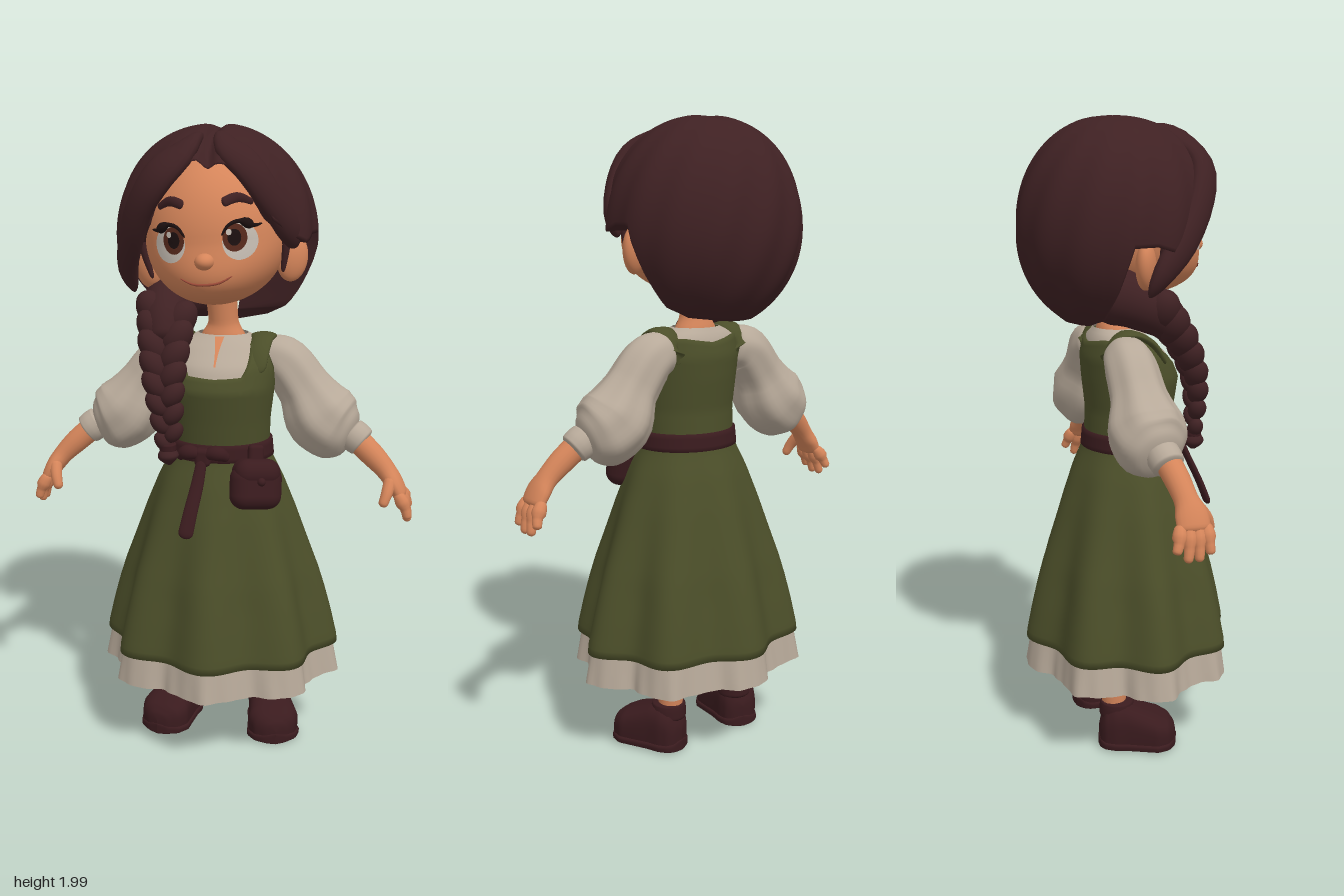
import * as THREE from 'three';
import { RoundedBoxGeometry } from 'three/addons/geometries/RoundedBoxGeometry.js';

const V = (x, y, z) => new THREE.Vector3(x, y, z);
const mat = (name, color, both) => {
  const m = new THREE.MeshStandardMaterial({ color });
  m.name = name;
  if (both) m.side = THREE.DoubleSide;
  return m;
};

// Linear lookup in rows of [key, ...values], keys ascending
function look(table, k) {
  let i = 0;
  while (i < table.length - 2 && k > table[i + 1][0]) i++;
  const a = table[i], b = table[i + 1];
  const f = THREE.MathUtils.clamp((k - a[0]) / (b[0] - a[0]), 0, 1);
  return a.slice(1).map((v, j) => v + (b[j + 1] - v) * f);
}

// Closed skin: fn(u around, v along) gives a point
function skinOver(fn, nu, nv) {
  const pos = [], idx = [];
  for (let i = 0; i <= nv; i++) for (let j = 0; j < nu; j++) pos.push(...fn(j / nu, i / nv));
  for (let i = 0; i < nv; i++) for (let j = 0; j < nu; j++) {
    const a = i * nu + j, b = i * nu + (j + 1) % nu, c = a + nu, d = b + nu;
    idx.push(a, b, c, c, b, d);
  }
  const g = new THREE.BufferGeometry();
  g.setAttribute('position', new THREE.Float32BufferAttribute(pos, 3));
  g.setIndex(idx);
  g.computeVertexNormals();
  return g;
}

// Rounded limb through rows [x, y, z, radius towards ref, radius across]
function limb(rows, ref = V(0, 0, 1), cap = 0.08, ripple = 0, nu = 18, nv = 24) {
  const path = new THREE.CatmullRomCurve3(rows.map(r => V(r[0], r[1], r[2])));
  const size = new THREE.CatmullRomCurve3(rows.map(r => V(r[3], r[4] ?? r[3], 0)));
  return skinOver((u, v) => {
    const t = (1 - Math.cos(Math.PI * v)) / 2, p = path.getPoint(t), s = size.getPoint(t);
    const T = path.getTangent(t), B = T.clone().cross(ref).normalize(), N = B.clone().cross(T);
    const e = 1 - Math.min(1, t / cap, (1 - t) / cap), a = u * 2 * Math.PI;
    const k = Math.sqrt(Math.max(0, 1 - e * e)) * (1 + ripple * Math.sin(7 * a) * Math.sin(Math.PI * t));
    p.addScaledVector(N, Math.cos(a) * s.x * k).addScaledVector(B, Math.sin(a) * s.y * k);
    return p.toArray();
  }, nu, nv);
}

// Torso rows: y, half width, half depth, z centre
const TORSO = [[0.98, 0.145, 0.125, 0], [1.1, 0.15, 0.13, 0.01], [1.2, 0.162, 0.143, 0.012], [1.27, 0.165, 0.13, -0.005],
  [1.33, 0.145, 0.09, -0.03], [1.36, 0.075, 0.062, -0.04]];
const torsoPoint = (a, y, out) => {
  const [rx, rz, cz] = look(TORSO, y);
  return [Math.sin(a) * (rx + out), y, cz + Math.cos(a) * (rz + out)];
};
const SKIRT = [[0.25, 0.366], [0.36, 0.362], [0.45, 0.342], [0.6, 0.303], [0.8, 0.238], [0.9, 0.2], [0.98, 0.16], [1.03, 0.148]];
const BODICE_TOP = [[0, 1.24], [30, 1.245], [37, 1.28], [44, 1.335], [66, 1.335], [76, 1.27], [90, 1.23], [105, 1.25], [118, 1.33], [140, 1.33], [180, 1.315]];
const HAIR_HEM = [[0, 0.235], [20, 0.215], [33, 0.16], [42, 0.05], [55, 0], [68, -0.03], [80, -0.01], [95, -0.01], [103, -0.15], [112, -0.24], [130, -0.268], [180, -0.275]];
const SHOE = [[-0.14, 0, 0.07], [-0.135, 0.035, 0.09], [-0.12, 0.055, 0.125], [-0.09, 0.066, 0.148], [-0.05, 0.068, 0.148], [0, 0.076, 0.13], [0.05, 0.084, 0.112], [0.085, 0.068, 0.094], [0.105, 0.035, 0.07], [0.11, 0, 0.045]];

// Face depth at a point of the head
const FX = 0.218, FZ = 0.213;
function faceZ(x, y, nz) {
  const ny = y / (y > 0 ? 0.25 : 0.205), nx = x / FX;
  nz ??= Math.sqrt(Math.max(0, 1 - nx * nx - ny * ny));
  return FZ * nz + 0.13 * Math.max(0, -ny) ** 1.5 * Math.max(0, nz);
}

export function createModel() {
  const model = new THREE.Group();
  model.name = 'girl';
  const hair = mat('hair brown', 0x3f2123), leather = mat('leather', 0x3a1b1e), green = mat('dress green', 0x4b4e29, true);
  const linen = mat('linen', 0xb7a999, true), skin = mat('skin', 0xd5855a), white = mat('eye white', 0xc4bbb1);
  const iris = mat('iris brown', 0x56291c), dark = mat('pupil dark', 0x1c1010), lip = mat('lip', 0x9a4a38);
  const add = (name, geo, m, parent = model) => {
    const o = new THREE.Mesh(geo, m);
    o.name = name;
    parent.add(o);
    return o;
  };

  // Dress and petticoat with eight deep folds
  const fold = (a, y, shrink, fine) => {
    const f = THREE.MathUtils.clamp((0.98 - y) / 0.45, 0, 1);
    const r = (look(SKIRT, y)[0] - shrink) * (1 + 0.07 * f * Math.cos(8 * a)) + fine * (Math.cos(21 * a) + 0.6 * Math.sin(34 * a + 1));
    return [Math.sin(a) * r, y, Math.cos(a) * r * 0.87];
  };
  add('skirt', skinOver((u, v) => v === 0 ? fold(u * 2 * Math.PI, 0.357, 0.012, 0)
    : fold(u * 2 * Math.PI, 0.345 + (v - 1 / 30) * 30 / 29 * 0.685, 0, 0), 128, 30), green);
  add('petticoat', skinOver((u, v) => fold(u * 2 * Math.PI, 0.25 + v * 0.7, Math.min(0.014, v * 0.09),
    0.005 * Math.max(0, 1 - v * 4)), 176, 24), linen);
  add('blouse', skinOver((u, v) => torsoPoint(u * 2 * Math.PI, 0.98 + v * 0.378, 0), 48, 28), linen);
  add('bodice', skinOver((u, v) => {
    const a = u * 2 * Math.PI, deg = Math.abs(Math.atan2(Math.sin(a), Math.cos(a))) * 180 / Math.PI;
    return torsoPoint(a, 0.98 + Math.min(1, v * 24 / 23) * (look(BODICE_TOP, deg)[0] - 0.98), v === 1 ? -0.002 : 0.009);
  }, 120, 24), green);

  // Neck and the small slit in the collar
  add('neck', limb([[0, 1.28, -0.04, 0.06, 0.085], [0, 1.35, -0.038, 0.056, 0.07], [0, 1.4, -0.035, 0.047], [-0.01, 1.53, -0.02, 0.05]]), skin);
  const slit = new THREE.PlaneGeometry(1, 1, 4, 8), sp = slit.attributes.position;
  for (let i = 0; i < sp.count; i++) {
    const h = sp.getY(i) + 0.5, x = sp.getX(i) * (0.006 + 0.024 * h * h), y = 1.275 + 0.08 * h;
    const [rx, rz, cz] = look(TORSO, y);
    sp.setXYZ(i, x, y, cz + rz * Math.sqrt(1 - (x / rx) ** 2) + 0.004);
  }
  slit.computeVertexNormals();
  add('collarSlit', slit, skin);

  // Belt with knot, hanging tail and pouch
  const BELT = [[0, 0.972, 0.15], [0.25, 0.978, 0.17], [0.75, 1.03, 0.165], [1, 1.036, 0.145]];
  add('belt', skinOver((u, v) => {
    const a = u * 2 * Math.PI, [y, r] = look(BELT, v);
    return [Math.sin(a) * r, y, Math.cos(a) * (r - 0.022) + 0.004];
  }, 64, 8), leather);
  add('beltKnot', new RoundedBoxGeometry(0.05, 0.06, 0.04, 3, 0.015), leather).position.set(-0.03, 1.0, 0.16);
  for (const s of [1, -1]) add('beltLoop', limb([[-0.03, 1.005, 0.16, 0.012], [-0.03 + s * 0.045, 1.015, 0.165, 0.024], [-0.03 + s * 0.08, 0.995, 0.15, 0.012]]), leather);
  add('beltTail', limb([[-0.03, 1.0, 0.165, 0.012, 0.016], [-0.04, 0.92, 0.2, 0.01, 0.02], [-0.055, 0.84, 0.235, 0.01, 0.022], [-0.068, 0.765, 0.262, 0.01, 0.024]]), leather);
  const pouch = new THREE.Group();
  pouch.name = 'pouch';
  pouch.position.set(0.135, 0.92, 0.15);
  pouch.rotation.set(-0.2, 0.5, 0);
  model.add(pouch);
  add('pouchBag', new RoundedBoxGeometry(0.165, 0.14, 0.09, 6, 0.044), leather, pouch).position.y = -0.01;
  add('pouchFlap', new RoundedBoxGeometry(0.148, 0.085, 0.1, 6, 0.041), leather, pouch).position.y = 0.035;
  add('pouchButton', new THREE.SphereGeometry(0.013, 14, 10), leather, pouch).position.set(0, 0.01, 0.05);
  add('pouchLoop', new RoundedBoxGeometry(0.05, 0.07, 0.03, 3, 0.012), leather, pouch).position.set(0, 0.085, -0.01);

  for (const s of [1, -1]) {
    const P = rows => rows.map(r => [r[0] * s, ...r.slice(1)]);
    const side = s > 0 ? 'left' : 'right';
    add(side + 'Strap', limb(P([[0.122, 1.25, 0.085, 0.012, 0.03], [0.126, 1.315, 0.045, 0.012, 0.033], [0.13, 1.348, -0.01, 0.012, 0.034], [0.13, 1.348, -0.055, 0.012, 0.034],
      [0.126, 1.315, -0.088, 0.012, 0.033], [0.122, 1.25, -0.09, 0.012, 0.03]]), V(0, 1, 0.01)), green);
    // Puffed sleeve, cuff, forearm and hand
    add(side + 'Sleeve', limb(P([[0.12, 1.29, -0.05, 0.06], [0.19, 1.27, -0.05, 0.078], [0.255, 1.19, -0.045, 0.084], [0.315, 1.1, -0.04, 0.115],
      [0.37, 1.06, -0.035, 0.108], [0.42, 1.04, -0.025, 0.06]]), V(0, 0, 1), 0.06, 0.04, 42, 32), linen);
    add(side + 'Cuff', limb(P([[0.405, 1.055, -0.025, 0.05], [0.43, 1.037, -0.02, 0.052], [0.455, 1.018, -0.015, 0.047]]), V(0, 0, 1), 0.15), linen);
    add(side + 'Forearm', limb(P([[0.41, 1.05, -0.02, 0.04], [0.48, 0.99, -0.002, 0.038], [0.525, 0.945, 0.008, 0.036, 0.032], [0.555, 0.905, 0.015, 0.05, 0.028], [0.58, 0.86, 0.015, 0.05, 0.022]])), skin);
    [[-0.023, -0.047, 0.81], [0.003, -0.012, 0.782], [0.028, 0.022, 0.782], [0.052, 0.056, 0.8]].forEach(([z0, z1, y]) =>
      add(side + 'Finger', limb(P([[0.566, 0.885, z0, 0.016], [0.592, (0.87 + y) / 2, (z0 + z1) / 2, 0.016], [0.602, y, z1, 0.013]]), V(0, 0, 1), 0.12, 0, 12, 14), skin));
    add(side + 'Thumb', limb(P([[0.545, 0.925, 0.035, 0.021], [0.535, 0.885, 0.068, 0.018], [0.522, 0.845, 0.086, 0.014]]), V(0, 0, 1), 0.12, 0, 12, 14), skin);
    // Leg and shoe
    add(side + 'Leg', limb(P([[0.14, 0.1, -0.085, 0.037], [0.14, 0.22, -0.085, 0.043], [0.13, 0.65, -0.05, 0.06]])), skin);
    const shoe = new THREE.Group();
    shoe.name = side + 'Shoe';
    shoe.position.x = s * 0.172;
    shoe.rotation.y = s * 0.28;
    model.add(shoe);
    const foot = (wide, tall) => skinOver((u, v) => {
      const a = u * 2 * Math.PI, z = -0.14 + 0.25 * (1 - Math.cos(Math.PI * v)) / 2, [w, h] = look(SHOE, z);
      const c = Math.cos(a), sn = Math.sin(a), H = tall || h;
      return [-Math.sign(sn) * Math.abs(sn) ** 0.7 * w * wide, H / 2 * (1 + Math.sign(c) * Math.abs(c) ** (c < 0 ? 0.3 : 0.8)), z * (wide > 1 ? 1.02 : 1)];
    }, 32, 36);
    add('shoeUpper', foot(1), leather, shoe);
    add('shoeSole', foot(1.06, 0.035), leather, shoe);
    add('shoeCollar', limb([[-s * 0.008, 0.09, -0.082, 0.058], [-s * 0.008, 0.135, -0.082, 0.056], [-s * 0.008, 0.158, -0.082, 0.052]], V(0, 0, 1), 0.2), leather, shoe);
  }

  // Head, tilted a little
  const head = new THREE.Group();
  head.name = 'head';
  head.position.set(-0.015, 1.66, 0);
  head.rotation.z = 0.07;
  model.add(head);
  const skull = new THREE.SphereGeometry(1, 56, 40), kp = skull.attributes.position;
  for (let i = 0; i < kp.count; i++) {
    const y = kp.getY(i) * (kp.getY(i) > 0 ? 0.25 : 0.205), x = kp.getX(i) * FX;
    kp.setXYZ(i, x, y, faceZ(x, y, kp.getZ(i)));
  }
  skull.computeVertexNormals();
  add('face', skull, skin, head);
  const patch = (name, m, cx, cy, rx, ry, lift) => {
    const g = new THREE.RingGeometry(0, 1, 28, 5), p = g.attributes.position;
    for (let i = 0; i < p.count; i++) {
      const x = cx + rx * p.getX(i), y = cy + ry * p.getY(i);
      p.setXYZ(i, x, y, faceZ(x, y) + lift);
    }
    g.computeVertexNormals();
    add(name, g, m, head);
  };
  const onFace = (rows, lift) => rows.map(([x, y, ...r]) => [x, y, faceZ(x, y) + lift, ...r]);
  for (const s of [1, -1]) {
    patch('eyeWhite', white, s * 0.104, -0.002, 0.049, 0.053, 0.003);
    patch('iris', iris, s * 0.091, 0.01, 0.034, 0.04, 0.006);
    patch('pupil', dark, s * 0.09, 0.011, 0.019, 0.024, 0.008);
    patch('eyeGlint', white, s * 0.09 - 0.014, 0.027, 0.008, 0.009, 0.0095);
    add('upperLashes', limb(onFace([[s * 0.054, 0.018, 0.003], [s * 0.075, 0.046, 0.005], [s * 0.106, 0.056, 0.006], [s * 0.142, 0.04, 0.006], [s * 0.165, 0.042, 0.002]], 0.005)), dark, head);
    add('eyebrow', limb(onFace([[s * 0.058, 0.109, 0.008, 0.014], [s * 0.098, 0.121, 0.008, 0.015], [s * 0.142, 0.103, 0.005, 0.009]], 0.004)), hair, head);
    const ear = add('ear', new THREE.SphereGeometry(1, 24, 18), skin, head);
    ear.scale.set(0.05, 0.073, 0.03);
    ear.position.set(s * 0.228, -0.078, -0.015);
    ear.rotation.set(0, s * 0.5, -s * 0.2);
    add('sideburn', limb([[s * 0.222, 0.03, 0.05, 0.016], [s * 0.217, -0.04, 0.045, 0.013], [s * 0.203, -0.115, 0.035, 0.006]]), hair, head);
  }
  const nose = add('nose', new THREE.SphereGeometry(1, 24, 18), skin, head);
  nose.scale.set(0.03, 0.025, 0.036);
  nose.position.set(0, -0.054, 0.213);
  add('mouth', limb(onFace([[-0.078, -0.1, 0.002], [-0.04, -0.117, 0.0035], [0, -0.121, 0.004], [0.04, -0.117, 0.0035], [0.078, -0.1, 0.002]], 0.001)), lip, head);

  // Hair cap: hem height varies around the head, with a parting and soft strands
  add('hairCap', skinOver((u, v) => {
    const n = 44, a = u * 2 * Math.PI, th = Math.atan2(Math.sin(a), Math.cos(a)), deg = Math.abs(th) * 180 / Math.PI;
    const hem = look(HAIR_HEM, deg)[0], w = Math.max(0, (v - 1 / n) * n / (n - 1));
    const phi = Math.acos(hem / (hem > 0 ? 0.335 : 0.32)) * (1 - w), c = Math.cos(phi);
    const front = Math.max(0, Math.cos(a));
    let k = Math.sin(phi) ** (c > 0 ? 0.92 : 1) * (1 + 0.016 * Math.sin(phi) * Math.sin(13 * a + 3 * phi));
    if (v === 0) k *= deg > 100 ? 0.25 : 0.65;
    const x = -0.008 + Math.sin(a) * 0.31 * k, z = -0.055 + Math.cos(a) * (0.288 + 0.06 * front * Math.max(0, c)) * k;
    const part = 0.022 * Math.exp(-((x - 0.02) ** 2) / 0.0004) * THREE.MathUtils.smoothstep(z, -0.2, 0);
    return [x, c * (c > 0 ? 0.335 : 0.32) - part + (v === 0 ? 0.012 : 0), z - part * 0.5 * front];
  }, 144, 44), hair, head);
  // Wide locks sweeping from the parting to each temple
  add('rightFringe', limb([[-0.02, 0.3, 0.04, 0.015, 0.03], [-0.06, 0.255, 0.15, 0.032, 0.06], [-0.125, 0.195, 0.188, 0.034, 0.06], [-0.19, 0.115, 0.165, 0.034, 0.055],
    [-0.245, 0.01, 0.105, 0.034, 0.053], [-0.28, -0.08, 0.03, 0.03, 0.045], [-0.28, -0.16, -0.02, 0.012, 0.02]], V(-0.6, 0.3, 0.75)), hair, head);
  add('leftFringe', limb([[0.05, 0.3, 0.03, 0.015, 0.03], [0.085, 0.255, 0.13, 0.028, 0.05], [0.14, 0.2, 0.16, 0.03, 0.05], [0.19, 0.115, 0.145, 0.03, 0.046],
    [0.23, 0.03, 0.095, 0.03, 0.045], [0.25, -0.04, 0.04, 0.015, 0.025]], V(0.6, 0.3, 0.75)), hair, head);

  // Braid over the right shoulder
  add('braidRoot', limb([[-0.12, 1.5, -0.14, 0.08], [-0.17, 1.46, -0.04, 0.08], [-0.165, 1.41, 0.06, 0.07], [-0.155, 1.34, 0.12, 0.045]], V(1, 0, 0)), hair);
  const path = new THREE.CatmullRomCurve3([V(-0.16, 1.43, 0.05), V(-0.155, 1.34, 0.12), V(-0.148, 1.22, 0.172), V(-0.138, 1.12, 0.182), V(-0.133, 1.05, 0.18)]);
  for (let i = 0; i < 15; i++) {
    const s = i % 2 ? 1 : -1, t = i / 14, r = 0.08 - 0.044 * t;
    const plait = add('braidPlait', new THREE.SphereGeometry(1, 18, 14), hair);
    plait.scale.set(r * 0.64, r * 0.92, r * 0.68);
    plait.position.copy(path.getPointAt(t));
    plait.position.x += s * r * 0.5;
    plait.rotation.z = -s * 0.65;
  }
  add('braidTie', limb([[-0.135, 1.045, 0.18, 0.026], [-0.135, 1.015, 0.178, 0.026]], V(0, 0, 1), 0.25), leather);
  add('braidTassel', limb([[-0.135, 1.03, 0.18, 0.02], [-0.134, 1.005, 0.18, 0.033], [-0.13, 0.975, 0.18, 0.006]]), hair);
  return model;
}
